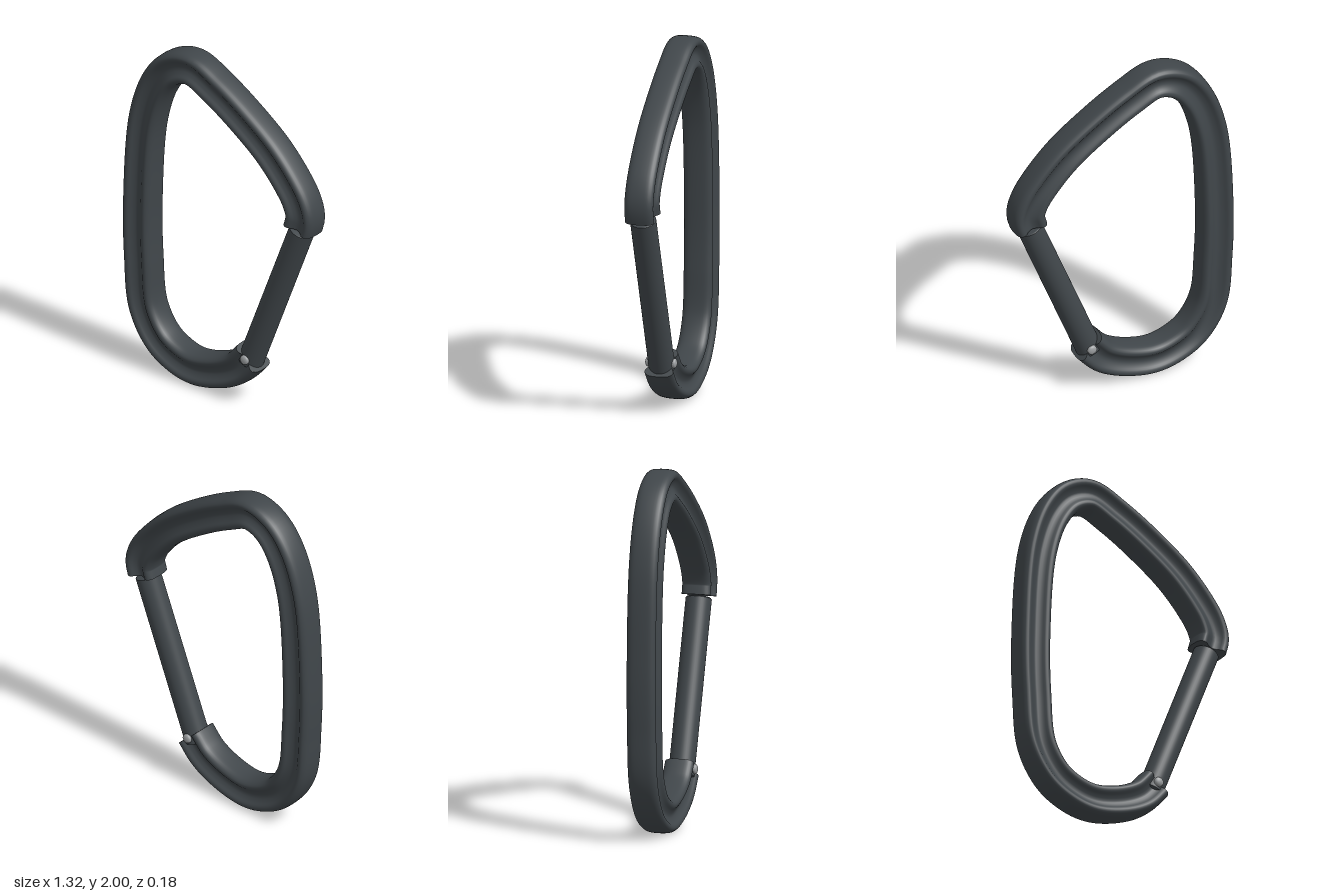
import * as THREE from 'three';

const V2 = (x, y) => new THREE.Vector2(x, y);
const V3 = (x, y, z = 0) => new THREE.Vector3(x, y, z);

// Centre line of the bent bar, from the nose round to the hinge
const PATH = [
  [0.55, 1.178], [0.566, 1.25], [0.541, 1.335], [0.482, 1.425], [0.347, 1.572],
  [0.147, 1.722], [-0.045, 1.838], [-0.205, 1.907], [-0.335, 1.868], [-0.437, 1.75],
  [-0.523, 1.505], [-0.563, 0.995], [-0.557, 0.65], [-0.525, 0.358], [-0.425, 0.195],
  [-0.3, 0.121], [-0.18, 0.098], [-0.016, 0.13], [0.117, 0.196], [0.203, 0.287],
];

// Quarter of the grooved section: outer edge, lip, groove
const QUARTER = [[0.093, 0.028], [0.087, 0.06], [0.07, 0.079], [0.05, 0.078], [0.03, 0.062]];

function sectionPoints(count) {
  const top = [...QUARTER, [0, 0.05], ...QUARTER.map(([u, w]) => [-u, w]).reverse()];
  const bottom = top.map(([u, w]) => [-u, -w]);
  const loop = new THREE.CatmullRomCurve3([...top, ...bottom].map(([u, w]) => V3(u, w)), true);
  return loop.getPoints(count).slice(0, count).map((p) => V2(p.x, p.y));
}

// Sweep a closed section along a flat curve
function sweep(curve, section, steps) {
  const positions = [], indices = [], n = section.length;
  for (let i = 0; i <= steps; i++) {
    const p = curve.getPointAt(i / steps);
    const t = curve.getTangentAt(i / steps);
    for (const s of section) positions.push(p.x + t.y * s.x, p.y - t.x * s.x, s.y);
    if (i === steps) break;
    for (let j = 0; j < n; j++) {
      const a = i * n + j, b = i * n + ((j + 1) % n);
      indices.push(a, a + n, b + n, a, b + n, b);
    }
  }
  const geometry = new THREE.BufferGeometry();
  geometry.setAttribute('position', new THREE.Float32BufferAttribute(positions, 3));
  geometry.setIndex(indices);
  geometry.computeVertexNormals();
  return geometry;
}

// Flat end face of the bar; side is -1 at the start and 1 at the end
function endFace(curve, section, side) {
  const at = side < 0 ? 0 : 1;
  const t = curve.getTangentAt(at);
  const matrix = new THREE.Matrix4().makeBasis(
    V3(-t.y * side, t.x * side), V3(0, 0, 1), t.clone().multiplyScalar(side));
  matrix.setPosition(curve.getPointAt(at));
  return new THREE.ShapeGeometry(new THREE.Shape(section)).applyMatrix4(matrix);
}

// Turned part from profile corners, each segment with its own hard edge
function turned(profile, sides) {
  const points = profile.map(([r, y]) => V2(r, y));
  return new THREE.LatheGeometry(points, sides);
}

export function createModel() {
  const model = new THREE.Group();
  model.name = 'carabiner';

  const darkMetal = new THREE.MeshStandardMaterial({ color: 0x40464a });
  darkMetal.name = 'dark metal';
  const steel = new THREE.MeshStandardMaterial({ color: 0x9a9d9f });
  steel.name = 'pin steel';

  const add = (parent, name, geometry, material) => {
    const mesh = new THREE.Mesh(geometry, material);
    mesh.name = name;
    parent.add(mesh);
    return mesh;
  };

  // Bent bar with a groove on both faces
  const body = new THREE.Group();
  body.name = 'body';
  model.add(body);
  const curve = new THREE.CatmullRomCurve3(PATH.map(([x, y]) => V3(x, y)));
  const section = sectionPoints(56);
  add(body, 'bar', sweep(curve, section, 160), darkMetal);
  add(body, 'noseEnd', endFace(curve, section, -1), darkMetal);
  add(body, 'hingeEnd', endFace(curve, section, 1), darkMetal);

  // Straight round gate from the hinge to the nose
  const hinge = V3(0.202, 0.287);
  const tip = V3(0.546, 1.166);
  const length = hinge.distanceTo(tip);
  const r = 0.071;
  const gate = new THREE.Group();
  gate.name = 'gate';
  gate.position.copy(hinge);
  gate.rotation.z = -Math.atan2(tip.x - hinge.x, tip.y - hinge.y);
  model.add(gate);
  const rod = new THREE.CylinderGeometry(r, r, length + 0.032, 40, 1, true);
  add(gate, 'gateRod', rod, darkMetal).position.y = (length - 0.044) / 2;
  add(gate, 'gateTip', turned([[r, length - 0.006], [r - 0.006, length], [0, length]], 40), darkMetal);
  add(gate, 'gateFoot', turned([[0, -0.044], [r - 0.012, -0.044], [r, -0.038]], 40), darkMetal);

  // Hinge pin with a domed head on each side
  const pin = add(model, 'hingePin', new THREE.CylinderGeometry(0.027, 0.027, 0.15, 24), steel);
  pin.rotation.x = Math.PI / 2;
  pin.position.copy(hinge);
  for (const side of [-1, 1]) {
    const dome = new THREE.SphereGeometry(0.027, 24, 8, 0, Math.PI * 2, 0, Math.PI / 2);
    const head = add(model, side > 0 ? 'frontPinHead' : 'backPinHead', dome, steel);
    head.scale.y = 0.5;
    head.rotation.x = side * Math.PI / 2;
    head.position.set(hinge.x, hinge.y, side * 0.075);
  }

  return model;
}
